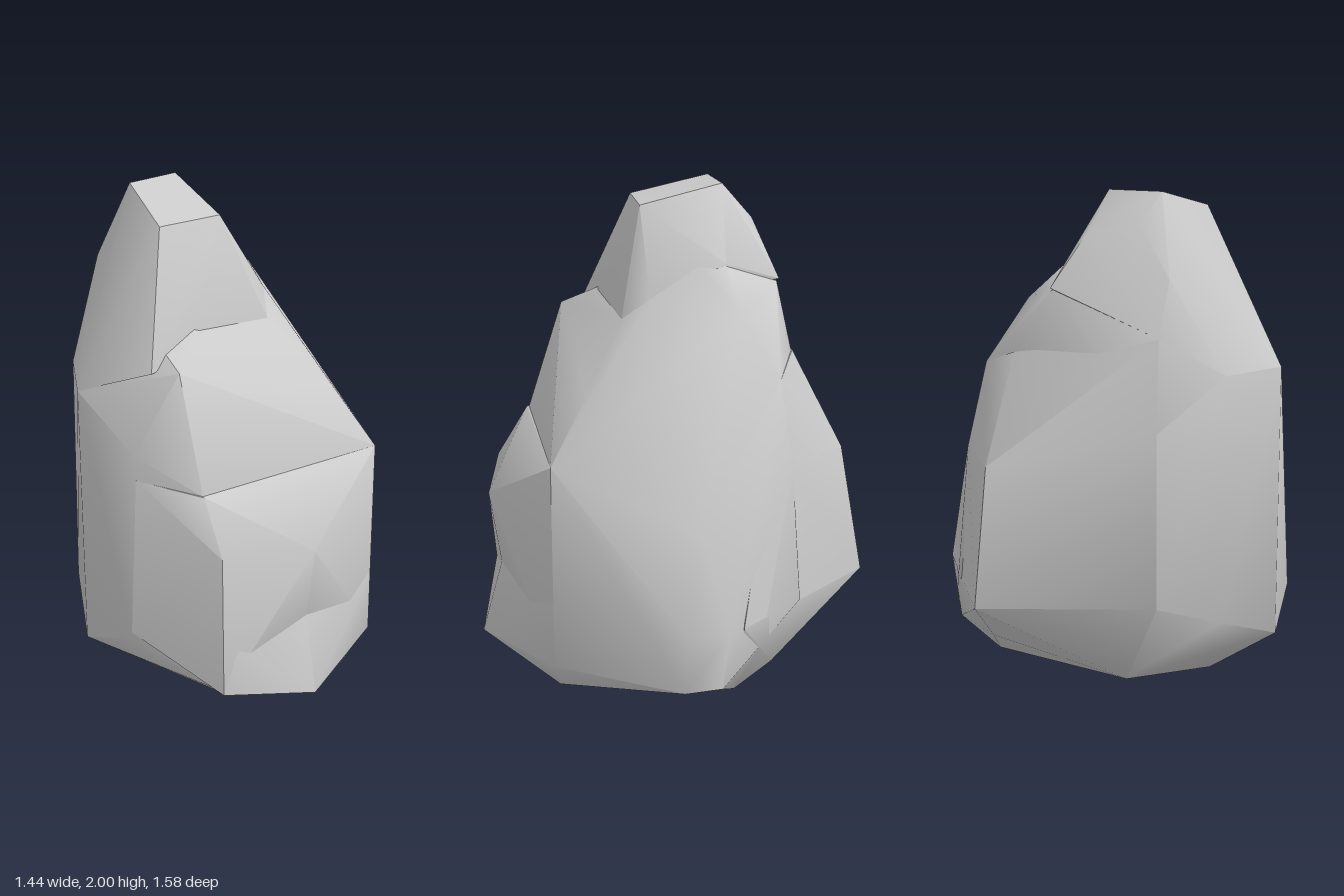
import * as THREE from 'three';
import { ConvexGeometry } from 'three/addons/geometries/ConvexGeometry.js';
import { toCreasedNormals } from 'three/addons/utils/BufferGeometryUtils.js';

const stone = new THREE.MeshStandardMaterial({ color: 0xcccccc });

// One chunk of rock: the convex skin over a few corner points, softly shaded.
function chunk(name, corners) {
  const hull = new ConvexGeometry(corners.map((c) => new THREE.Vector3(...c)));
  const mesh = new THREE.Mesh(toCreasedNormals(hull, 0.85), stone);
  mesh.name = name;
  return mesh;
}

export function createModel() {
  const rock = new THREE.Group();
  rock.name = 'rock';

  // Main mass, from the flat foot to the shoulders
  rock.add(chunk('body', [
    [0.45, 0, -0.2], [0.29, 0, 0.5], [-0.31, 0, 0.5], [-0.45, 0, 0], [-0.2, 0, -0.28],
    [-0.72, 0.18, 0.05], [-0.72, 1.3, 0.05], [-0.66, 0.3, 0.33], [-0.62, 1.1, 0.31],
    [-0.45, 0.16, 0.64], [-0.45, 0.98, 0.54], [-0.46, 1.44, 0.39],
    [0.37, 0.12, 0.53], [0.37, 0.98, 0.53], [0.25, 1.23, 0.37],
    [0.72, 0.13, 0.05], [0.72, 0.38, 0.05], [0.72, 0.14, -0.1], [0.72, 0.38, -0.13], [0.65, 0.77, -0.02],
    [0.49, 0.4, -0.46], [0.45, 0.95, -0.43], [0.38, 1.3, -0.39], [0.26, 1.55, -0.25],
    [0.02, 1.75, -0.06], [0.1, 1.7, -0.22], [0.11, 1.58, 0.09],
    [0.05, 1.62, -0.44], [0.2, 1.37, -0.47], [-0.43, 0.4, -0.48], [-0.42, 1.1, -0.47],
    [-0.4, 1.46, -0.41], [-0.41, 1.66, -0.33],
    [-0.6, 0.3, -0.25], [-0.6, 1.3, -0.22], [-0.31, 1.48, 0.27], [0.06, 1.49, 0.2],
  ]));

  // Bulge on the front face
  rock.add(chunk('frontBelly', [
    [-0.45, 0.16, 0.69], [-0.45, 0.77, 0.68], [-0.07, 0.73, 0.75], [-0.07, 0.43, 0.7], [-0.07, 0.12, 0.66],
    [0.37, 0.12, 0.53], [0.37, 0.98, 0.53], [-0.45, 0.98, 0.55],
    [-0.66, 0.33, 0.33], [-0.62, 1, 0.32], [-0.31, 0, 0.5], [0.29, 0, 0.5],
  ]));

  // Pointed lip at the front of the foot
  rock.add(chunk('frontToe', [
    [-0.08, 0.1, 0.79], [-0.07, 0.43, 0.7], [-0.45, 0.16, 0.69], [-0.45, 0.4, 0.68],
    [0.37, 0.12, 0.53], [0.37, 0.4, 0.53], [-0.31, 0, 0.5], [0.29, 0, 0.5],
  ]));

  // Ridge sticking out at the back
  rock.add(chunk('backRidge', [
    [0.21, 0.4, -0.79], [0.21, 0.95, -0.69], [0.2, 1.37, -0.475], [0.3, 0.18, -0.5],
    [0.45, 0, -0.2], [-0.2, 0, -0.28], [0.56, 0.17, -0.33], [0.69, 0.38, -0.19],
    [0.45, 0.95, -0.43], [0.38, 1.3, -0.39], [-0.43, 0.4, -0.48], [-0.42, 1.1, -0.47], [-0.4, 1.46, -0.41],
  ]));

  // Narrow leaning top
  rock.add(chunk('summit', [
    [-0.37, 1.92, 0.1], [-0.1, 1.92, 0.1], [-0.33, 1.98, -0.16], [-0.1, 1.97, -0.17], [-0.32, 2, -0.22], [-0.1, 2, -0.24],
    [-0.27, 1.88, -0.31], [-0.08, 1.86, -0.36], [0.05, 1.63, -0.45], [0.1, 1.71, -0.22],
    [0.02, 1.77, -0.04], [0.11, 1.58, 0.09], [0.06, 1.49, 0.2],
    [-0.41, 1.68, -0.34], [-0.4, 1.46, -0.41], [-0.6, 1.3, -0.22], [-0.72, 1.3, 0.05],
    [-0.53, 1.42, 0.3], [-0.31, 1.48, 0.27],
  ]));

  return rock;
}
